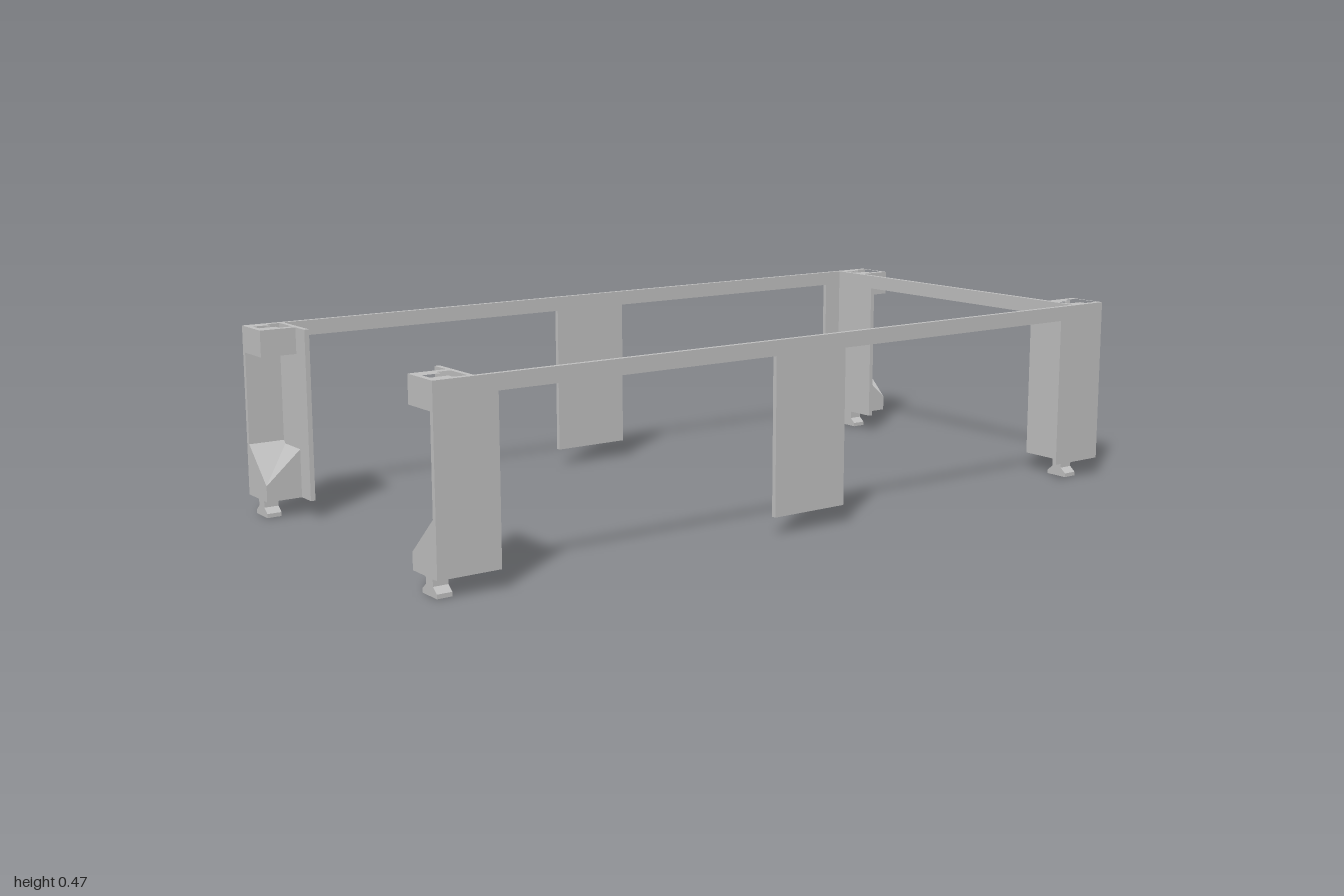
import * as THREE from 'three';

const grey = new THREE.MeshStandardMaterial({ color: 0xbfbfbf });
grey.name = 'plain grey';

const outline = (pts) => pts.map(([a, b]) => new THREE.Vector2(a, b));

function prism(pts, depth, hole) {
  const shape = new THREE.Shape(outline(pts));
  if (hole) shape.holes.push(new THREE.Path(outline(hole)));
  return new THREE.ExtrudeGeometry(shape, { depth, bevelEnabled: false });
}
// Points are (x, y), swept along z
const alongZ = (pts, z0, z1) => prism(pts, z1 - z0).translate(0, 0, z0);
// Points are (z, y), swept along x
const alongX = (pts, x0, x1) => prism(pts, x1 - x0).rotateY(-Math.PI / 2).translate(x1, 0, 0);
// Points are (x, z), swept along y
function alongY(pts, y0, y1, hole) {
  const flip = (list) => list && list.map(([x, z]) => [x, -z]);
  return prism(flip(pts), y1 - y0, flip(hole)).rotateX(-Math.PI / 2).translate(0, y0, 0);
}
const rect = (a0, b0, a1, b1) => [[a0, b0], [a1, b0], [a1, b1], [a0, b1]];

const TOP = 0.465, BASE = 0.045, RAIL = 0.428;
const OUT = 0.475, WALL = 0.463, IN = 0.37, FLANGE = 0.32;
const PLATE0 = 0.897, PLATE1 = 0.909;
const PEG = 0.424; // x of the feet and slots

export function createModel() {
  const model = new THREE.Group();
  const add = (parent, name, geometry) => {
    const mesh = new THREE.Mesh(geometry, grey);
    mesh.name = name;
    parent.add(mesh);
  };

  // Long side frames: top rail with end legs and a middle leg
  const half = [[0.105, BASE], [0.105, RAIL], [0.845, RAIL], [0.845, BASE], [1, BASE], [1, TOP]];
  const side = [...half, ...half.map(([z, y]) => [-z, y]).reverse()];
  add(model, 'leftSideFrame', alongX(side, WALL, OUT));
  add(model, 'rightSideFrame', alongX(side, -OUT, -WALL));

  // Back frame: corner plates joined by a rail
  const back = [[-WALL, BASE], [-FLANGE, BASE], [-FLANGE, RAIL], [FLANGE, RAIL],
    [FLANGE, BASE], [WALL, BASE], [WALL, TOP], [-WALL, TOP]];
  add(model, 'backFrame', alongZ(back, -PLATE1, -PLATE0));

  for (const sx of [1, -1]) {
    // Front corner plates
    add(model, 'frontPlate',
      alongZ(rect(sx * FLANGE, BASE, sx * WALL, TOP), PLATE0, PLATE1));

    for (const sz of [1, -1]) {
      const corner = new THREE.Group();
      corner.name = (sz > 0 ? 'front' : 'back') + (sx > 0 ? 'Left' : 'Right') + 'Corner';
      model.add(corner);
      const z0 = Math.min(sz * 0.9, sz), z1 = z0 + 0.1;
      const x0 = Math.min(sx * IN, sx * WALL), x1 = x0 + WALL - IN;
      const block = rect(x0, z0, x1, z1);

      // Top block with a keyed slot that widens below its lip
      const s = sz > 0 ? 0.901 : -0.994, c = sx * PEG;
      const keySlot = [[c - 0.036, s], [c + 0.036, s], [c + 0.036, s + 0.042], [c + 0.017, s + 0.042],
        [c + 0.017, s + 0.085], [c - 0.017, s + 0.085], [c - 0.017, s + 0.042], [c - 0.036, s + 0.042]];
      add(corner, 'slotLip', alongY(block, 0.441, TOP, keySlot));
      add(corner, 'slotChamber', alongY(block, 0.418, 0.441, rect(c - 0.036, s, c + 0.036, s + 0.085)));
      add(corner, 'slotFloor', alongY(block, 0.4, 0.418));

      // Bottom block: two crossing gussets rising to the side wall and the plate
      const gusset = (a, b) => [[a, BASE], [a, 0.173], [b, 0.085], [b, BASE]];
      add(corner, 'sideGusset', alongZ(gusset(sx * WALL, sx * IN), z0, z1));
      add(corner, 'plateGusset', alongX(gusset(sz * 0.9, sz), x0, x1));

      // Foot: narrow neck flaring to a flat base
      const foot = [[0.031, 0], [0.031, 0.01], [0.015, 0.023], [0.015, BASE]];
      const footOutline = [...foot, ...foot.map(([x, y]) => [-x, y]).reverse()];
      add(corner, 'foot',
        alongZ(footOutline.map(([x, y]) => [x + c, y]), s + 0.053, s + 0.09));
    }
  }
  return model;
}
